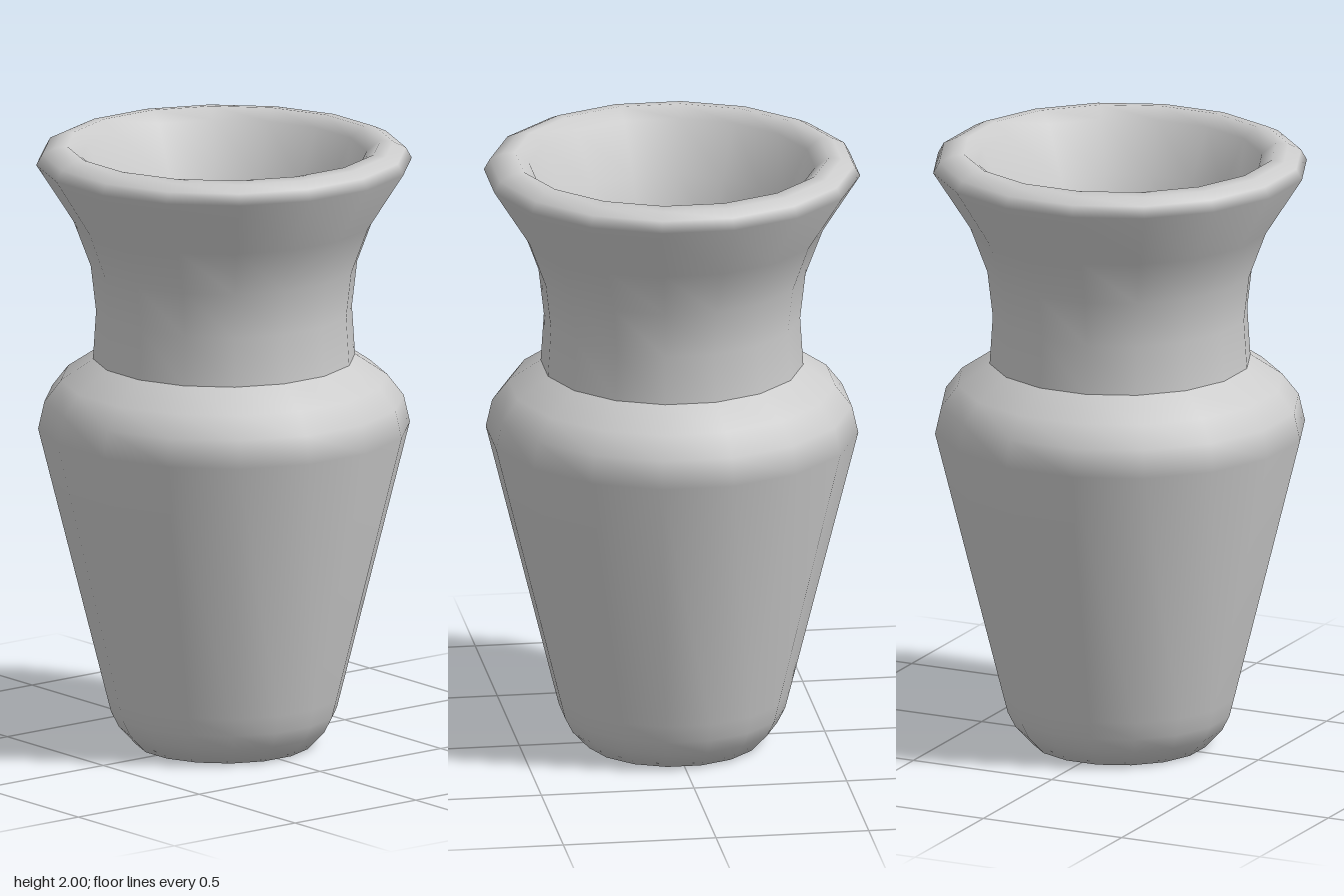
import * as THREE from 'three';

const SIDES = 16;
// Profiles give the distance to the flat sides; corners lie slightly further out.
const CORNER = 1 / Math.cos(Math.PI / SIDES);

const material = new THREE.MeshStandardMaterial({ color: 0xcccccc });

// Revolve a [radius, height] profile, with flats facing the axes.
function turned(name, profile) {
  const points = profile.map(([r, y]) => new THREE.Vector2(r * CORNER, y));
  const mesh = new THREE.Mesh(new THREE.LatheGeometry(points, SIDES, Math.PI / SIDES), material);
  mesh.name = name;
  return mesh;
}

export function createModel() {
  const vase = new THREE.Group();
  vase.name = 'vase';

  // Underside, rounded foot, tapering body and shoulder
  vase.add(turned('body', [
    [0, 0], [0.28, 0], [0.335, 0.06], [0.36, 0.11], [0.375, 0.17],
    [0.593, 1.06], [0.573, 1.15], [0.52, 1.22], [0.418, 1.29],
  ]));

  // Flared neck and rolled lip, meeting the shoulder at a sharp crease
  vase.add(turned('neckAndLip', [
    [0.418, 1.29], [0.408, 1.45], [0.425, 1.6], [0.48, 1.75],
    [0.599, 1.94], [0.58, 1.975], [0.54, 1.995], [0.5, 2],
    [0.455, 1.965], [0.375, 1.8], [0.31, 1.63], [0.287, 1.45], [0.295, 1.23],
  ]));

  // Hollow inside the body, down to the floor
  vase.add(turned('innerWall', [
    [0.295, 1.23], [0.43, 1.13], [0.468, 1.05], [0.26, 0.2], [0.22, 0.12], [0, 0.12],
  ]));

  return vase;
}
